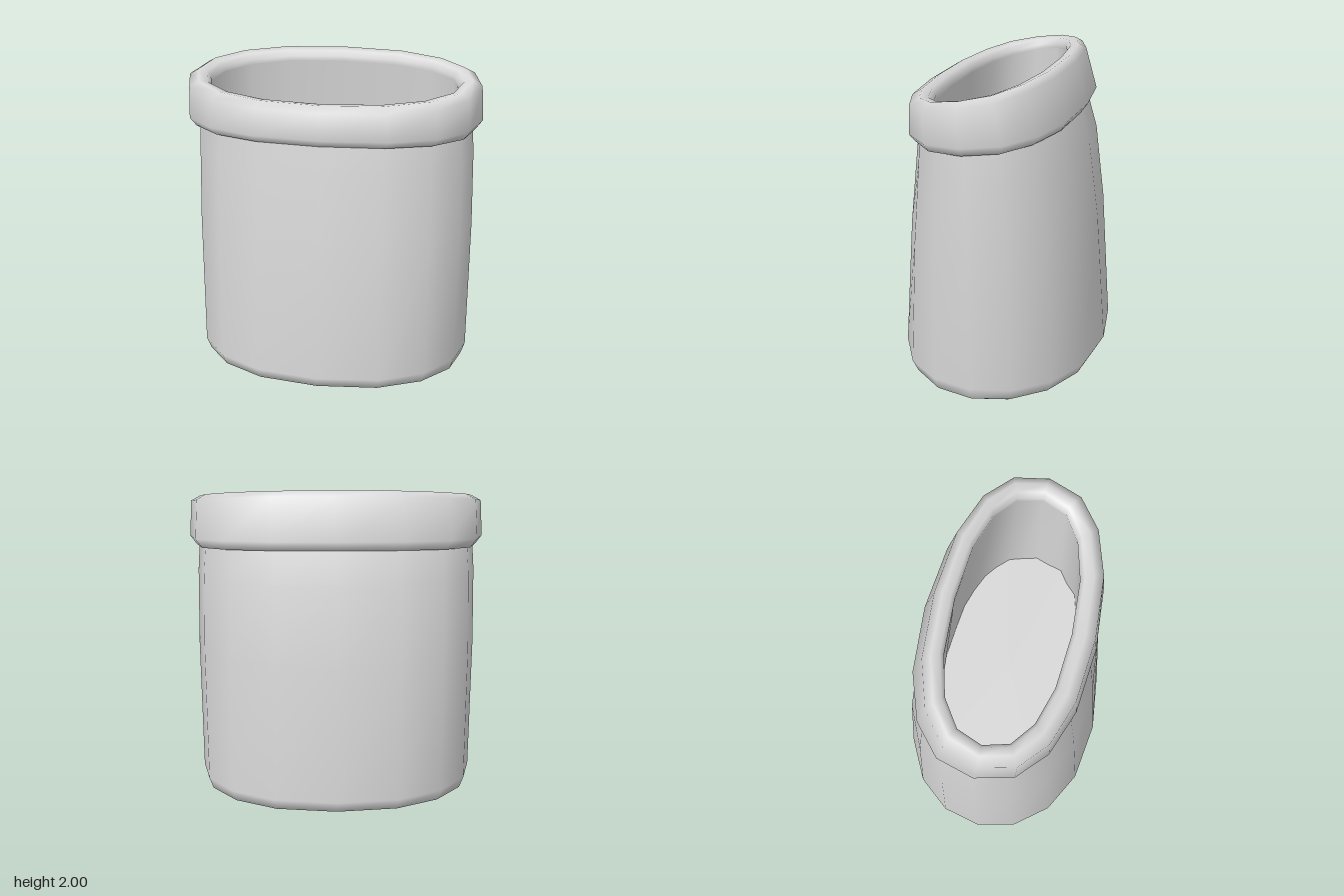
import * as THREE from 'three';

const SIDES = 16;
const grey = new THREE.MeshStandardMaterial({ color: 0xd8d8d8, side: THREE.DoubleSide });
grey.name = 'plain grey';

// Slightly squared oval: exponents below 1 push the corners outward
const bulge = (v, power) => Math.sign(v) * Math.pow(Math.abs(v), power);

// Ring: [half width, front z, back z, front y, back y, lift at the two ends, z exponent]
function ringPoint([rx, zFront, zBack, yFront, yBack, lift = 0, pz = 1], j) {
  const a = (j / SIDES) * Math.PI * 2;
  const s = Math.sin(a), c = Math.cos(a);
  return [
    rx * bulge(s, 0.86),
    (yFront + yBack) / 2 + ((yFront - yBack) / 2) * c + lift * s * s,
    (zFront + zBack) / 2 + ((zFront - zBack) / 2) * bulge(c, pz),
  ];
}

// Smooth skin through a list of rings
function loft(name, rings) {
  const pos = [], index = [];
  for (const ring of rings) {
    for (let j = 0; j < SIDES; j++) pos.push(...ringPoint(ring, j));
  }
  for (let i = 0; i < rings.length - 1; i++) {
    for (let j = 0; j < SIDES; j++) {
      const a = i * SIDES + j, b = i * SIDES + ((j + 1) % SIDES);
      index.push(a, b, b + SIDES, a, b + SIDES, a + SIDES);
    }
  }
  const geo = new THREE.BufferGeometry();
  geo.setAttribute('position', new THREE.Float32BufferAttribute(pos, 3));
  geo.setIndex(index);
  geo.computeVertexNormals();
  const mesh = new THREE.Mesh(geo, grey);
  mesh.name = name;
  return mesh;
}

export function createModel() {
  const group = new THREE.Group();
  group.name = 'ovalHolder';

  const foot = [0.835, 0.5, -0.5, 0.002, 0.002, 0.014, 0.92];
  const mouth = [0.787, 0.393, -0.303, 1.75, 1.92, 0, 0.86];

  // Outer wall, tapering in depth towards the top, with a turned-in foot
  group.add(loft('outerWall', [
    foot,
    [0.862, 0.605, -0.605, 0.034, 0.034],
    [0.887, 0.648, -0.648, 0.11, 0.11],
    [0.892, 0.58, -0.58, 0.97, 0.97],
    [0.882, 0.525, -0.515, 1.45, 1.45],
    [0.868, 0.5, -0.44, 1.64, 1.7],
  ]));

  // Inner wall, running from the rim straight down to the foot
  group.add(loft('innerWall', [mouth, foot]));

  // Floor set inside the holder, above the hollow base
  group.add(loft('floor', [
    [0.812, 0.445, -0.41, 1, 1, 0, 0.88],
    [0, 0.02, 0.02, 1, 1],
  ]));

  // Thick rolled rim, sloping down to the front
  group.add(loft('rim', [
    [0.85, 0.47, -0.42, 1.6, 1.67, -0.012, 0.86],
    [0.89, 0.51, -0.455, 1.587, 1.65, -0.012, 0.86],
    [0.93, 0.547, -0.497, 1.632, 1.71, -0.01, 0.86],
    [0.92, 0.53, -0.42, 1.79, 1.97, 0, 0.86],
    [0.862, 0.47, -0.37, 1.825, 2.0, 0, 0.86],
    [0.81, 0.415, -0.32, 1.82, 1.985, 0, 0.86],
    [0.785, 0.39, -0.3, 1.78, 1.95, 0, 0.86],
    mouth,
  ]));

  return group;
}
